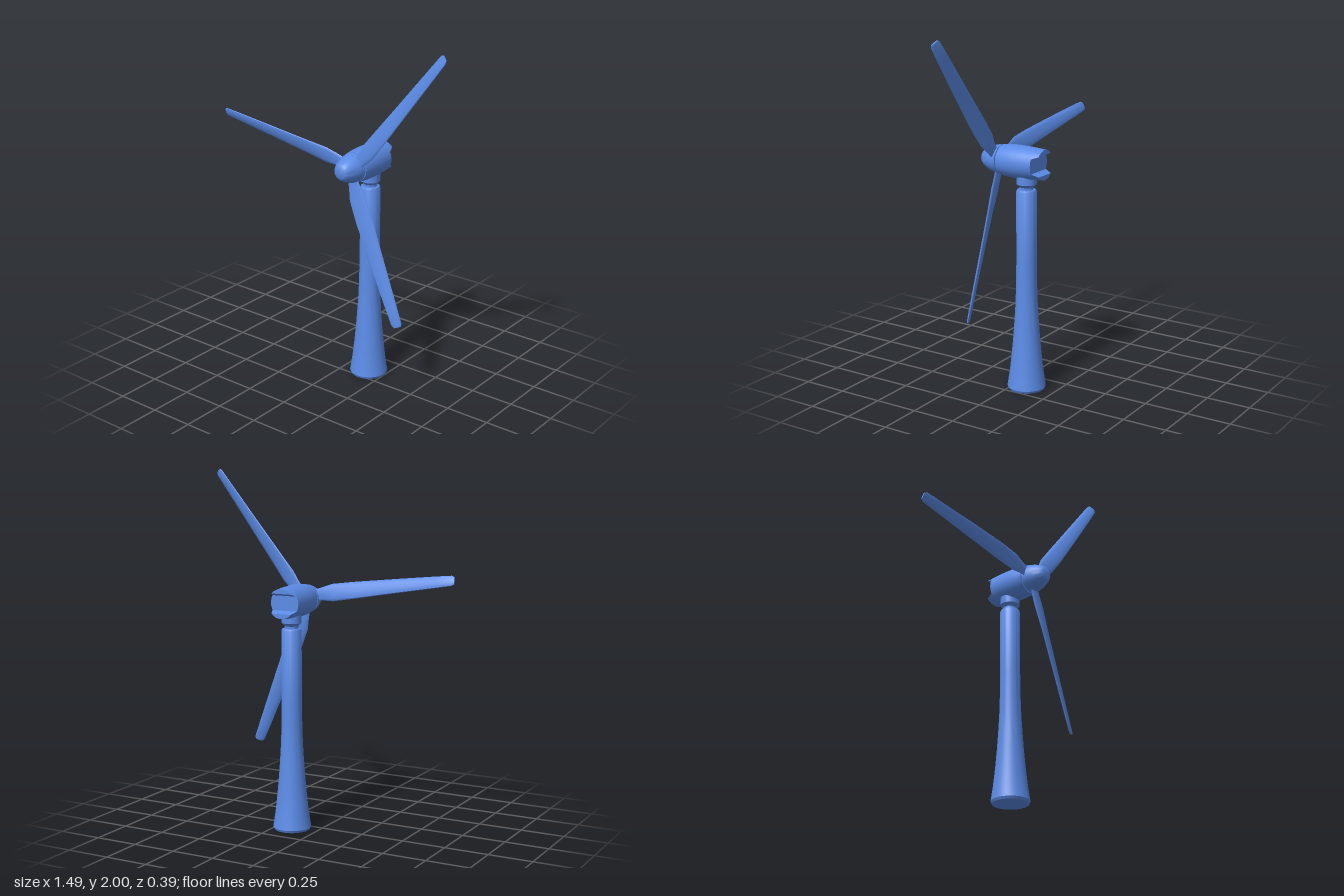
import * as THREE from 'three';
import { toCreasedNormals } from 'three/addons/utils/BufferGeometryUtils.js';

const material = new THREE.MeshStandardMaterial({ color: 0x5b8be6 });

function part(name, geometry) {
  const mesh = new THREE.Mesh(toCreasedNormals(geometry, 0.6), material);
  mesh.name = name;
  return mesh;
}

// Turned part from [radius, height] pairs, lowest first
function turned(name, profile) {
  return part(name, new THREE.LatheGeometry(profile.map(([r, h]) => new THREE.Vector2(r, h)), 40));
}

// Skin over rings of points (counter-clockwise about the direction of travel), with end caps
function loft(rings) {
  const n = rings[0].length;
  const positions = rings.flat(2);
  const index = [];
  for (let i = 0; i < rings.length - 1; i++) {
    for (let j = 0; j < n; j++) {
      const a = i * n + j, b = i * n + (j + 1) % n;
      index.push(a, b, b + n, a, b + n, a + n);
    }
  }
  const last = (rings.length - 1) * n;
  for (let j = 1; j < n - 1; j++) {
    index.push(0, j + 1, j, last, last + j, last + j + 1);
  }
  const geometry = new THREE.BufferGeometry();
  geometry.setAttribute('position', new THREE.Float32BufferAttribute(positions, 3));
  geometry.setIndex(index);
  return geometry;
}

// Blade along +x: [distance, low edge, high edge, thickness, pitch]
function bladeGeometry() {
  const sections = [
    [0.05, -0.042, 0.022, 0.014, 0.05],
    [0.10, -0.050, 0.022, 0.015, 0.08],
    [0.17, -0.062, 0.034, 0.022, 0.22],
    [0.30, -0.058, 0.033, 0.022, 0.33],
    [0.56, -0.045, 0.030, 0.021, 0.38],
    [0.80, -0.032, 0.028, 0.018, 0.40],
    [0.89, -0.026, 0.027, 0.016, 0.40],
    [0.905, -0.018, 0.020, 0.010, 0.40],
  ];
  const sides = 14;
  return loft(sections.map(([x, low, high, thick, pitch]) => {
    const ring = [];
    for (let j = 0; j < sides; j++) {
      const t = (j / sides) * Math.PI * 2;
      const y = (low + high) / 2 + Math.cos(t) * (high - low) / 2;
      const z = Math.sin(t) * thick / 2;
      ring.push([x, y, z - y * Math.tan(pitch)]);
    }
    return ring;
  }));
}

// Lip behind the nacelle: circle segments above a sloping slot
function lipGeometry() {
  const segment = (z, radius, height) => {
    const start = Math.asin(height / radius);
    const ring = [];
    for (let j = 0; j <= 16; j++) {
      const t = start + (Math.PI - 2 * start) * j / 16;
      ring.push([Math.cos(t) * radius, Math.sin(t) * radius, z]);
    }
    return ring;
  };
  return loft([segment(-0.195, 0.082, 0.055), segment(-0.155, 0.086, 0.041)]);
}

export function createModel() {
  const model = new THREE.Group();
  model.name = 'windTurbine';

  // Flared tower with a neck and collar under the nacelle
  const tower = turned('tower', [
    [0, 0], [0.1, 0], [0.107, 0.014], [0.094, 0.1], [0.083, 0.2], [0.074, 0.3],
    [0.067, 0.4], [0.061, 0.5], [0.058, 0.6], [0.056, 0.75], [0.056, 1.13],
    [0.051, 1.14], [0.038, 1.142], [0.038, 1.155], [0.055, 1.172], [0.055, 1.23], [0, 1.23],
  ]);
  tower.position.set(0.15, 0, -0.08);
  model.add(tower);

  // Head: nacelle, shaft and spinner turned about z
  const head = new THREE.Group();
  head.name = 'head';
  head.position.set(0.15, 1.288, 0);
  const nacelle = turned('nacelle', [
    [0, -0.155], [0.086, -0.155], [0.089, -0.1], [0.091, -0.04],
    [0.09, 0], [0.087, 0.04], [0.083, 0.069], [0, 0.069],
  ]);
  const shaft = turned('shaft', [[0, 0.06], [0.05, 0.06], [0.05, 0.09], [0, 0.09]]);
  const spinner = turned('spinner', [
    [0, 0.075], [0.082, 0.075], [0.077, 0.105], [0.07, 0.13], [0.06, 0.155],
    [0.05, 0.173], [0.041, 0.185], [0.033, 0.191], [0, 0.193],
  ]);
  for (const mesh of [nacelle, shaft, spinner]) {
    mesh.rotation.x = Math.PI / 2;
    head.add(mesh);
  }

  // Upper and lower rear lips with the open slot between them
  const upperLip = part('upperRearLip', lipGeometry());
  const lowerLip = part('lowerRearLip', lipGeometry());
  lowerLip.rotation.z = Math.PI;
  head.add(upperLip, lowerLip);

  // Three pitched blades
  const geometry = bladeGeometry();
  for (let i = 0; i < 3; i++) {
    const blade = part('blade' + (i + 1), geometry);
    blade.position.z = 0.092;
    blade.rotation.z = THREE.MathUtils.degToRad(50.5 + i * 120);
    head.add(blade);
  }
  model.add(head);
  return model;
}
